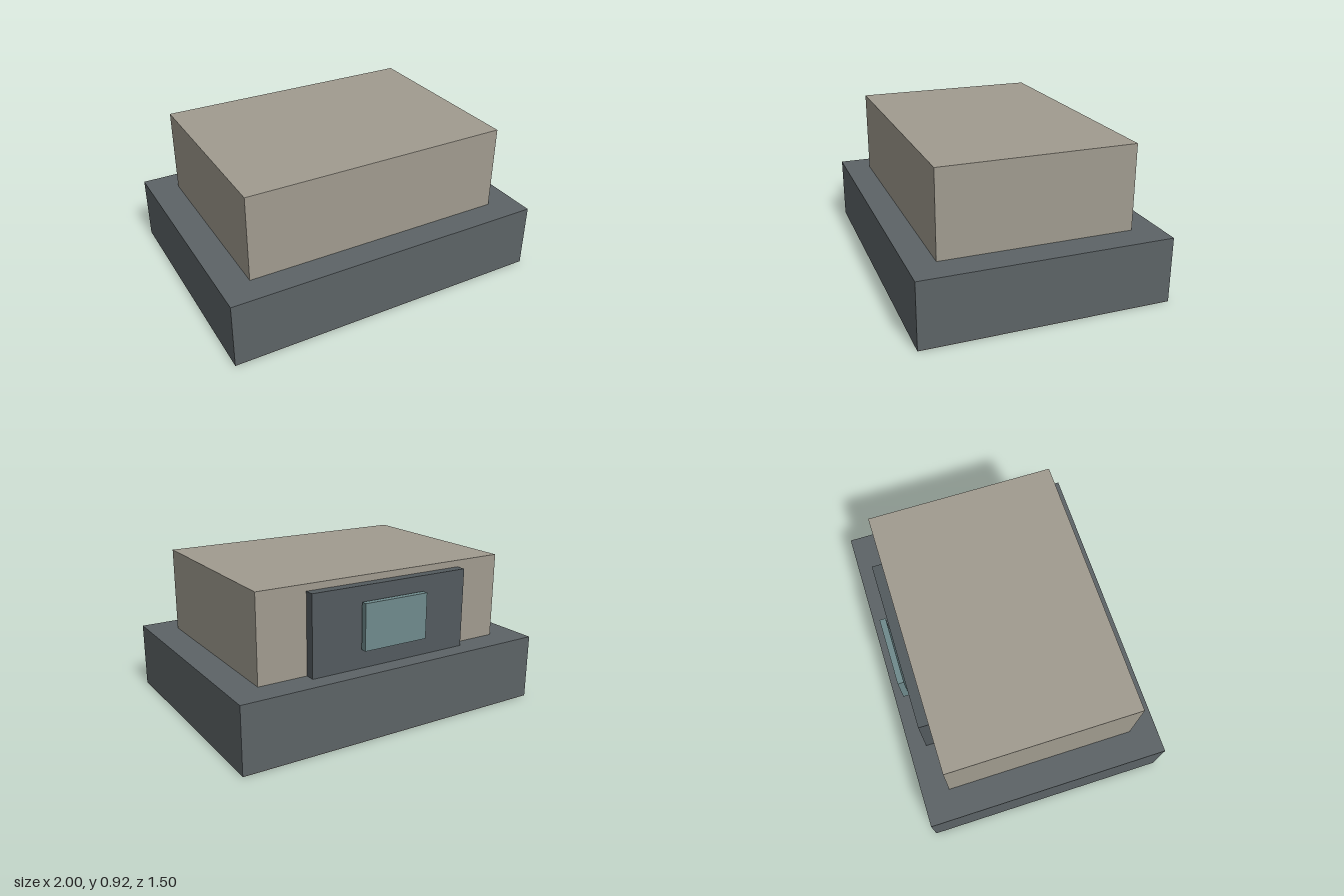
import * as THREE from 'three';

// Box given by its half width and its y and z ranges, centred on x = 0
function block(name, color, halfX, [y0, y1], [z0, z1]) {
  const mesh = new THREE.Mesh(
    new THREE.BoxGeometry(halfX * 2, y1 - y0, z1 - z0),
    new THREE.MeshStandardMaterial({ color })
  );
  mesh.position.set(0, (y0 + y1) / 2, (z0 + z1) / 2);
  mesh.name = name;
  return mesh;
}

export function createModel() {
  const model = new THREE.Group();
  model.name = 'steppedBlock';
  model.add(
    // thin sole under the wide plinth
    block('sole', 0x5c5a5b, 1, [0, 0.005], [-0.75, 0.75]),
    block('plinth', 0x5c6366, 1, [0.005, 0.4], [-0.75, 0.75]),
    // upper storey
    block('upperBody', 0xa09b8f, 0.82, [0.4, 0.92], [-0.585, 0.585]),
    // panel on the back, with a pane standing just clear of it
    block('backPanel', 0x535a5e, 0.52, [0.4, 0.88], [-0.645, -0.585]),
    block('pane', 0x6f8a8c, 0.21, [0.515, 0.79], [-0.692, -0.655])
  );
  return model;
}
